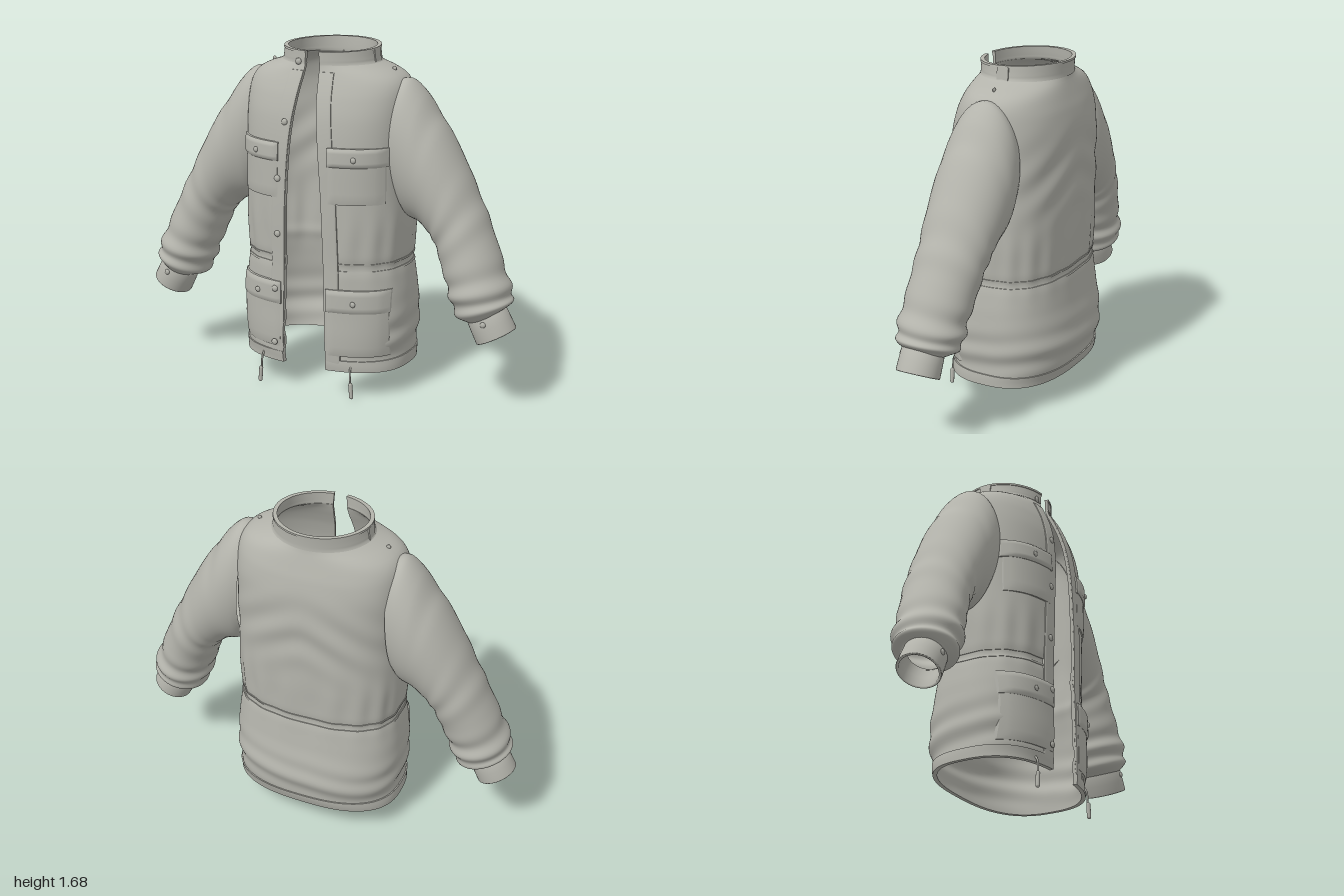
import * as THREE from 'three';
import { mergeGeometries, mergeVertices } from 'three/addons/utils/BufferGeometryUtils.js';

// body profile: height, half width, front z, back z, roundness, half opening
const BODY = [
  [0.13, 0.425, 0.295, 0.28, 2.6, 0.115], [0.19, 0.422, 0.298, 0.295, 2.6, 0.115],
  [0.3, 0.432, 0.302, 0.315, 2.6, 0.112], [0.4, 0.436, 0.3, 0.305, 2.6, 0.11],
  [0.5, 0.43, 0.3, 0.288, 2.6, 0.108], [0.65, 0.412, 0.3, 0.273, 2.6, 0.105],
  [0.85, 0.418, 0.305, 0.277, 2.6, 0.1], [1.0, 0.415, 0.306, 0.28, 2.6, 0.094],
  [1.2, 0.415, 0.304, 0.283, 2.6, 0.08], [1.35, 0.415, 0.288, 0.28, 2.6, 0.065],
  [1.45, 0.412, 0.262, 0.265, 2.5, 0.053], [1.51, 0.398, 0.238, 0.248, 2.4, 0.047],
  [1.55, 0.365, 0.22, 0.236, 2.3, 0.042], [1.58, 0.305, 0.209, 0.227, 2.15, 0.04],
  [1.6, 0.245, 0.204, 0.222, 2, 0.038], [1.62, 0.236, 0.204, 0.222, 2, 0.037],
  [1.67, 0.228, 0.203, 0.227, 2, 0.033],
];

// sleeve rings: index, outer x y, inner x y, centre z, half depth
const SLEEVE = [
  [0.36, 1.535, 0.4, 0.91, -0.005, 0.17], [0.42, 1.535, 0.425, 0.875, -0.005, 0.182],
  [0.49, 1.47, 0.45, 0.865, -0.005, 0.188], [0.55, 1.38, 0.475, 0.86, -0.003, 0.188],
  [0.61, 1.3, 0.505, 0.845, 0, 0.186], [0.7, 1.14, 0.54, 0.815, 0.005, 0.178],
  [0.79, 0.96, 0.575, 0.775, 0.012, 0.17], [0.86, 0.81, 0.61, 0.69, 0.025, 0.165],
  [0.915, 0.68, 0.645, 0.6, 0.04, 0.162], [0.955, 0.58, 0.675, 0.52, 0.048, 0.16],
  [0.965, 0.53, 0.705, 0.445, 0.052, 0.148], [0.94, 0.505, 0.76, 0.425, 0.06, 0.115],
  [0.935, 0.49, 0.785, 0.42, 0.065, 0.095],
].map((r, i) => [i, ...r]);

// smooth interpolation of a table whose first column is the key
function sample(rows, key) {
  const last = rows.length - 1;
  let i = 0;
  while (i < last - 1 && key > rows[i + 1][0]) i++;
  const a = rows[i], b = rows[i + 1], p = rows[Math.max(i - 1, 0)], q = rows[Math.min(i + 2, last)];
  const h = b[0] - a[0], t = Math.min(Math.max((key - a[0]) / h, 0), 1);
  const t2 = t * t, t3 = t2 * t;
  return a.map((v, c) => v * (2 * t3 - 3 * t2 + 1) + b[c] * (3 * t2 - 2 * t3)
    + h * ((b[c] - p[c]) / (b[0] - p[0]) * (t3 - 2 * t2 + t)
    + (q[c] - v) / (q[0] - a[0]) * (t3 - t2)));
}

// smooth surface from f(u, v)
function grid(f, nu, nv) {
  const pos = [], idx = [];
  for (let j = 0; j <= nv; j++) for (let i = 0; i <= nu; i++) pos.push(...f(i / nu, j / nv));
  for (let j = 0; j < nv; j++) for (let i = 0; i < nu; i++) {
    const a = j * (nu + 1) + i, b = a + 1, c = a + nu + 1, d = c + 1;
    idx.push(a, b, d, a, d, c);
  }
  let g = new THREE.BufferGeometry();
  g.setAttribute('position', new THREE.Float32BufferAttribute(pos, 3));
  g.setIndex(idx);
  g = mergeVertices(g, 1e-5);
  g.computeVertexNormals();
  return g;
}

const bump = (v, c, r) => Math.exp(-(((v - c) / r) ** 2));

// soft cloth folds around the body
function folds(y, th) {
  const back = Math.max(0, -Math.cos(th));
  return 0.006 * Math.sin(y * 48 + 1.5 * Math.sin(th * 2)) * bump(y, 0.28, 0.12)
    + 0.004 * Math.sin(th * 17) * bump(y, 0.76, 0.14)
    + 0.006 * back * Math.sin(y * 32 + 9 * Math.abs(Math.sin(th))) * bump(y, 1.15, 0.17)
    - 0.006 * bump(y, 0.65, 0.03);
}

function bodyPoint(u, y, off) {
  const [, w, zf, zb, n, gap] = sample(BODY, y);
  const start = Math.asin(Math.pow(gap / w, n / 2));
  const th = start + (2 * Math.PI - 2 * start) * u;
  const s = Math.sin(th), c = Math.cos(th), e = 2 / n, d = off + folds(y, th);
  const z = Math.sign(c) * Math.pow(Math.abs(c), e) * ((c > 0 ? zf : zb) + d);
  const x = Math.sign(s) * Math.pow(Math.abs(s), e) * (w + d);
  return [x, y - 0.035 * z * Math.min(1, Math.max(0, (y - 1.6) / 0.05)), z];
}

const frontZ = (x, y) => {
  const [, w, zf, , n] = sample(BODY, y);
  const r = Math.min(Math.abs(x) / w, 0.99);
  return zf * Math.pow(1 - Math.pow(r, n), 1 / n);
};

// open-fronted cloth shell between two heights
function shell(y0, y1, outer, inner, nv, nu = 120) {
  const P = (u, v, t) => bodyPoint(u, y0 + (y1 - y0) * v, outer + (inner - outer) * t);
  return mergeGeometries([
    grid((u, v) => P(u, v, 0), nu, nv),
    grid((u, v) => P(1 - u, v, 1), nu, nv),
    grid((u, t) => P(u, 1, t), nu, 1),
    grid((u, t) => P(1 - u, 0, t), nu, 1),
    grid((t, v) => P(0, v, 1 - t), 1, nv),
    grid((t, v) => P(1, v, t), 1, nv),
  ]);
}

// raised cloth panel that follows the front of the body
function panel(s, x0, x1, y0, y1, thick, shift = () => 0) {
  const ny = Math.max(8, Math.round((y1 - y0) * 40));
  const g = new THREE.BoxGeometry(1, 1, 1, 14, ny, 1), p = g.attributes.position;
  for (let i = 0; i < p.count; i++) {
    const a = p.getX(i), b = p.getY(i), y = y0 + (y1 - y0) * (b + 0.5);
    const x = s * (x0 + x1) / 2 + a * (x1 - x0) + s * shift(y);
    const edge = Math.max(Math.abs(a), Math.abs(b)) > 0.49 ? 0.6 : 1;
    p.setXYZ(i, x, y, frontZ(x, y) + (p.getZ(i) > 0 ? thick * edge : -0.008));
  }
  g.computeVertexNormals();
  return g;
}

function sleevePoint(s, u, k) {
  const [, ox, oy, ix, iy, zc, rz] = sample(SLEEVE, k);
  const a = s * u * 2 * Math.PI;
  const ridge = 0.06 * Math.sin(k * 5.2 + 0.9 * Math.sin(a + 0.6)) * bump(k, 8.9, 1.2)
    + 0.025 * Math.sin(k * 6 + 2 * Math.cos(a)) * bump(k, 6, 0.8);
  const c = Math.cos(a) * (1 + ridge), d = Math.sin(a) * (1 + ridge);
  return [s * ((ox + ix) / 2 + c * (ox - ix) / 2), (oy + iy) / 2 + c * (oy - iy) / 2, zc + d * rz];
}

// cuff tube with an open, turned-in end
function cuffPoint(s, u, v) {
  const prof = [[0, 0.9], [0.02, 1], [0.5, 1.02], [0.97, 1.03], [1, 1], [0.98, 0.9], [0.5, 0.87], [0, 0.85]];
  const [t, r] = prof[Math.round(v * 7)], a = s * u * 2 * Math.PI;
  const c = Math.cos(a) * r * 0.098, x = 0.853 + 0.052 * t, y = 0.465 - 0.1 * t;
  return [s * (x + c * 0.89), y + c * 0.46, 0.067 + Math.sin(a) * r * 0.101];
}

export function createModel() {
  const model = new THREE.Group();
  const cloth = new THREE.MeshStandardMaterial({ color: 0xb4b4ac, side: THREE.DoubleSide });
  cloth.name = 'warm grey cloth';
  const add = (name, geo) => {
    const m = new THREE.Mesh(geo, cloth);
    m.name = name;
    model.add(m);
    return m;
  };
  const button = (name, x, y, z, r = 0.014) => {
    const m = add(name, new THREE.SphereGeometry(r, 14, 8));
    m.position.set(x, y, z);
    m.scale.z = 0.55;
    return m;
  };

  // body, collar and seam bands
  add('body', shell(0.13, 1.605, 0, -0.014, 110));
  add('collar', shell(1.6, 1.67, 0.004, -0.012, 8));
  add('collarTopEdge', shell(1.66, 1.67, 0.008, 0, 2));
  add('hemBand', shell(0.13, 0.185, 0.006, -0.01, 6));
  add('waistUpperSeam', shell(0.663, 0.673, 0.004, -0.003, 2));
  add('waistLowerSeam', shell(0.627, 0.637, 0.004, -0.003, 2));

  for (const s of [1, -1]) {
    const side = s > 0 ? 'left' : 'right';
    // sleeve and cuff
    add(side + 'Sleeve', grid((u, v) => sleevePoint(s, u, v * 12), 48, 110));
    add(side + 'Cuff', grid((u, v) => cuffPoint(s, u, v), 40, 7));
    button(side + 'CuffButton', s * 0.875, 0.445, 0.17);

    // front placket along the opening
    add(side + 'Placket', panel(s, 0.001, 0.075, 0.135, 1.57, 0.007, (y) => sample(BODY, y)[5]));

    // pockets with flaps
    add(side + 'ChestPocket', panel(s, 0.135, 0.375, 0.965, 1.2, 0.013));
    add(side + 'ChestFlap', panel(s, 0.13, 0.385, 1.145, 1.235, 0.025));
    add(side + 'LowerPocket', panel(s, 0.13, 0.395, 0.21, 0.5, 0.013));
    add(side + 'LowerFlap', panel(s, 0.122, 0.4, 0.432, 0.545, 0.024));
    for (const y of [1.185, 0.483]) button(side + 'PocketButton', s * 0.26, y, frontZ(0.26, y) + 0.026);

    // shoulder button and collar tab
    button(side + 'ShoulderButton', s * 0.325, 1.575, -0.01, 0.011);
    const tab = add(side + 'CollarTab', new THREE.BoxGeometry(0.014, 0.065, 0.06));
    tab.position.set(s * 0.234, 1.63, -0.005);
    tab.rotation.z = s * 0.12;

    // hem drawcord with toggle
    const path = new THREE.CatmullRomCurve3([[0.24, 0.16, 0.27], [0.243, 0.135, 0.284], [0.246, 0.08, 0.287]]
      .map(([x, y, z]) => new THREE.Vector3(s * x, y, z)));
    add(side + 'Drawcord', new THREE.TubeGeometry(path, 12, 0.005, 8));
    const toggle = add(side + 'CordToggle', new THREE.CapsuleGeometry(0.01, 0.062, 5, 12));
    toggle.position.set(s * 0.251, 0.042, 0.289);
    toggle.rotation.z = s * 0.08;
  }

  // closing buttons on the right placket
  [[0.075, 1.61], [0.1, 1.335], [0.135, 1.06], [0.14, 0.785], [0.15, 0.51], [0.155, 0.235]]
    .forEach(([x, y]) => button('placketButton', -x, y, frontZ(x, y) + (y < 0.55 ? 0.024 : 0.009), 0.016));

  return model;
}
